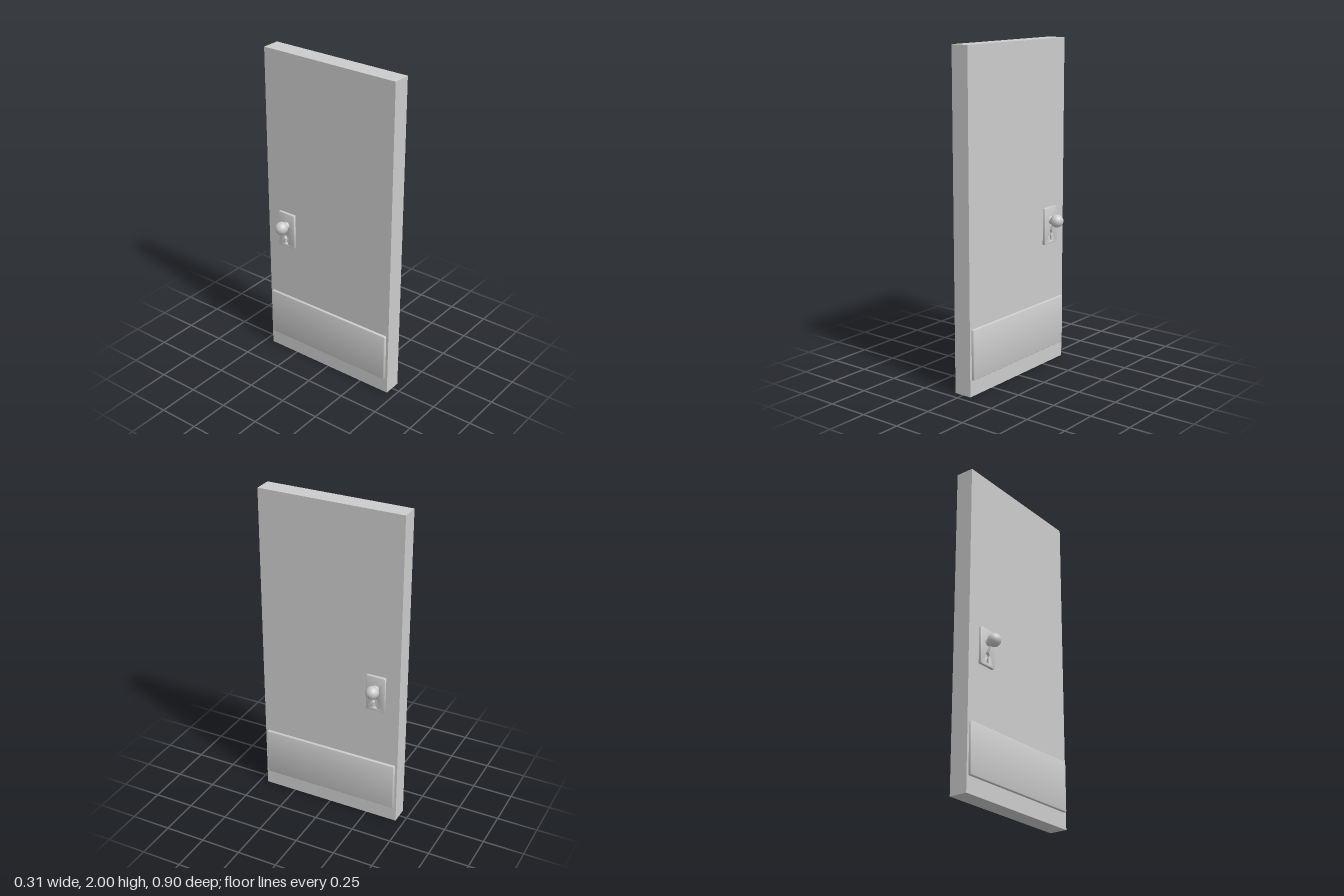
import * as THREE from 'three';
import { toCreasedNormals } from 'three/addons/utils/BufferGeometryUtils.js';

const HALF = 0.056;   // half thickness of the door
const PLATE = 0.0165; // how far plates stand proud of the door

function rectShape(w, y0, y1, r) {
  const s = new THREE.Shape(), h = w / 2;
  s.moveTo(-h + r, y0);
  s.lineTo(h - r, y0).quadraticCurveTo(h, y0, h, y0 + r);
  s.lineTo(h, y1 - r).quadraticCurveTo(h, y1, h - r, y1);
  s.lineTo(-h + r, y1).quadraticCurveTo(-h, y1, -h, y1 - r);
  s.lineTo(-h, y0 + r).quadraticCurveTo(-h, y0, -h + r, y0);
  return s;
}

// Plate with a softened rim, its back sunk slightly into the door
function plateGeometry(shape, bevel) {
  const sunk = bevel + 0.002;
  const geo = new THREE.ExtrudeGeometry(shape, {
    depth: PLATE + sunk - 2 * bevel, curveSegments: 6,
    bevelThickness: bevel, bevelSize: bevel, bevelOffset: -bevel, bevelSegments: 3,
  });
  geo.translate(0, 0, HALF - sunk + bevel);
  return toCreasedNormals(geo, Math.PI / 4);
}

export function createModel() {
  const model = new THREE.Group();
  model.name = 'door';
  const grey = new THREE.MeshStandardMaterial({ color: 0xcccccc });
  grey.name = 'light grey';

  const add = (parent, geo, name) => {
    const mesh = new THREE.Mesh(geo, grey);
    mesh.name = name;
    parent.add(mesh);
    return mesh;
  };

  // Door leaf
  add(model, new THREE.BoxGeometry(HALF * 2, 2, 0.9), 'doorLeaf').position.y = 1;

  // Kick plate
  const kickGeo = plateGeometry(rectShape(0.87, 0.099, 0.403, 0.008), 0.007);

  // Lock plate with a keyhole cut through it
  const lockShape = rectShape(0.12, 0.763, 0.99, 0.006);
  const keyhole = new THREE.Path();
  const a = Math.PI / 3;
  keyhole.moveTo(-0.010, 0.784);
  keyhole.lineTo(-0.008, 0.829 - 0.015 * Math.sin(a));
  keyhole.absarc(0, 0.829, 0.016, Math.PI + a, -a, true);
  keyhole.lineTo(0.010, 0.784);
  keyhole.quadraticCurveTo(0, 0.778, -0.010, 0.784);
  lockShape.holes.push(keyhole);
  const lockGeo = plateGeometry(lockShape, 0.003);

  // Knob: flared neck running into a ball
  const profile = [[0.026, 0.066], [0.024, 0.074], [0.0205, 0.078]];
  for (let i = 0; i <= 10; i++) {
    const t = THREE.MathUtils.lerp(0.54, Math.PI, i / 10);
    profile.push([Math.max(0, 0.04 * Math.sin(t)), 0.117 - 0.04 * Math.cos(t)]);
  }
  const knobGeo = new THREE.LatheGeometry(profile.map(([r, y]) => new THREE.Vector2(r, y)), 20);
  knobGeo.rotateX(Math.PI / 2);

  // The same fittings on both faces
  for (const side of [1, -1]) {
    const face = new THREE.Group();
    face.name = side > 0 ? 'leftFittings' : 'rightFittings';
    face.rotation.y = side * Math.PI / 2;
    add(face, kickGeo, 'kickPlate');
    add(face, lockGeo, 'lockPlate').position.x = side * 0.303;
    add(face, knobGeo, 'knob').position.set(side * 0.303, 0.91, 0);
    model.add(face);
  }
  return model;
}
